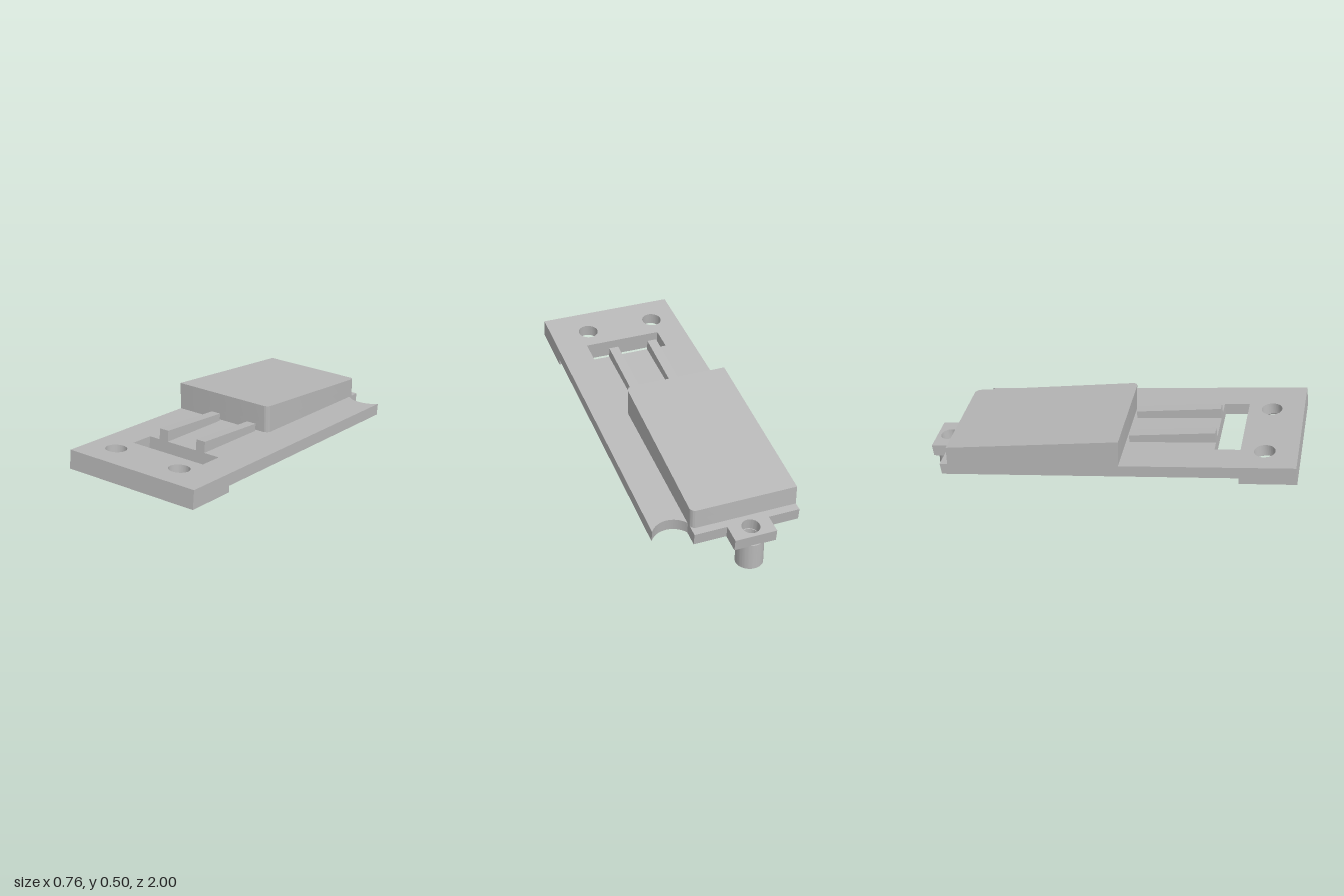
import * as THREE from 'three';
import { toCreasedNormals } from 'three/addons/utils/BufferGeometryUtils.js';

const SLOPE = 0.1275;
// heights of the sloping planes at a given z
const plateTop = z => 0.463 + SLOPE * (z - 0.987);
const plateBottom = z => plateTop(z) - 0.065;
const padBottom = z => plateTop(z) - 0.1;
const coverTop = z => 0.5 + 0.177 * (z - 0.08);
const cavityRoof = z => plateTop(z) + 0.055;
const ribTop = z => 0.467 + 0.167 * (z - 0.555);

// outlines are drawn in plan, with shape y = -z
const rect = (x0, x1, z0, z1) => new THREE.Shape([
  [x0, -z1], [x1, -z1], [x1, -z0], [x0, -z0],
].map(p => new THREE.Vector2(...p)));

const circle = (x, z, r) => new THREE.Shape().absarc(x, -z, r, 0, Math.PI * 2, false);

export function createModel() {
  const model = new THREE.Group();
  const grey = new THREE.MeshStandardMaterial({ color: 0xb8b8b8, side: THREE.DoubleSide });
  grey.name = 'plain grey';

  const add = (name, geometry) => {
    const mesh = new THREE.Mesh(toCreasedNormals(geometry, 0.5), grey);
    mesh.name = name;
    model.add(mesh);
  };

  // fills a plan outline between two sloping planes; lean tilts the walls
  const slab = (name, shape, bottom, top, lean = 0) => {
    const g = new THREE.ExtrudeGeometry(shape, { depth: 1, bevelEnabled: false, curveSegments: 32 });
    g.rotateX(-Math.PI / 2);
    const p = g.attributes.position;
    for (let i = 0; i < p.count; i++) {
      const z = p.getZ(i);
      const y = p.getY(i) > 0.5 ? top(z) : bottom(z);
      p.setY(i, y);
      p.setZ(i, z - lean * (y - plateTop(z)));
    }
    add(name, g);
  };

  const screws = [[-0.23, 0.815], [0.165, 0.815]];
  const cavity = () => rect(-0.143, 0.127, -0.48, 0.02);

  // base plate with back tab, scooped corner, slot and holes
  const plate = new THREE.Shape();
  plate.moveTo(-0.38, -0.987);
  plate.lineTo(0.38, -0.987);
  plate.lineTo(0.38, 0.815);
  plate.absarc(0.285, 0.88, 0.115, -0.6, -2.54, true);
  plate.lineTo(0.19, 0.9);
  plate.lineTo(0.015, 0.9);
  plate.lineTo(0.015, 1);
  plate.lineTo(-0.21, 1);
  plate.lineTo(-0.21, 0.9);
  plate.lineTo(-0.38, 0.9);
  plate.closePath();
  plate.holes.push(rect(-0.22, 0.215, 0.555, 0.69), cavity(), circle(-0.098, -0.932, 0.047));
  for (const [x, z] of screws) plate.holes.push(circle(x, z, 0.055));
  slab('basePlate', plate, plateBottom, plateTop, SLOPE);

  // thicker front pad with countersinks
  const pad = rect(-0.38, 0.38, 0.692, 0.987);
  for (const [x, z] of screws) pad.holes.push(circle(x, z, 0.104));
  slab('frontPad', pad, padBottom, plateBottom, SLOPE);
  for (const [x, z] of screws) {
    const cone = new THREE.CylinderGeometry(0.055, 0.104, 0.035, 48, 1, true);
    const p = cone.attributes.position;
    for (let i = 0; i < p.count; i++) {
      const pz = p.getZ(i) + z;
      const y = p.getY(i) > 0 ? plateBottom(pz) : padBottom(pz);
      p.setXYZ(i, p.getX(i) + x, y, pz - SLOPE * (y - plateTop(pz)));
    }
    add('countersink', cone);
  }

  // raised cover, rounded on its inner side and hollow below
  const cover = () => {
    const s = new THREE.Shape();
    s.moveTo(-0.38, -0.075);
    s.lineTo(0.162, -0.075);
    s.absarc(0.162, -0.045, 0.03, -Math.PI / 2, 0, false);
    s.lineTo(0.192, 0.827);
    s.absarc(0.162, 0.827, 0.03, 0, Math.PI / 2, false);
    s.lineTo(-0.38, 0.857);
    s.closePath();
    return s;
  };
  const coverWall = cover();
  coverWall.holes.push(cavity());
  slab('coverWall', coverWall, plateTop, cavityRoof);
  slab('coverLid', cover(), cavityRoof, coverTop);

  // pair of sloping ribs
  for (const x of [-0.158, 0.073]) {
    slab('rib', rect(x, x + 0.053, 0.095, 0.555), plateTop, ribTop, SLOPE);
  }

  // hollow post under the tab and a small peg under the plate
  const post = circle(-0.098, -0.927, 0.072);
  post.holes.push(circle(-0.098, -0.927, 0.045));
  slab('post', post, () => 0, z => plateBottom(z) + 0.002);
  slab('peg', circle(0.216, -0.163, 0.049), () => 0.226, z => plateBottom(z) + 0.01);

  return model;
}
